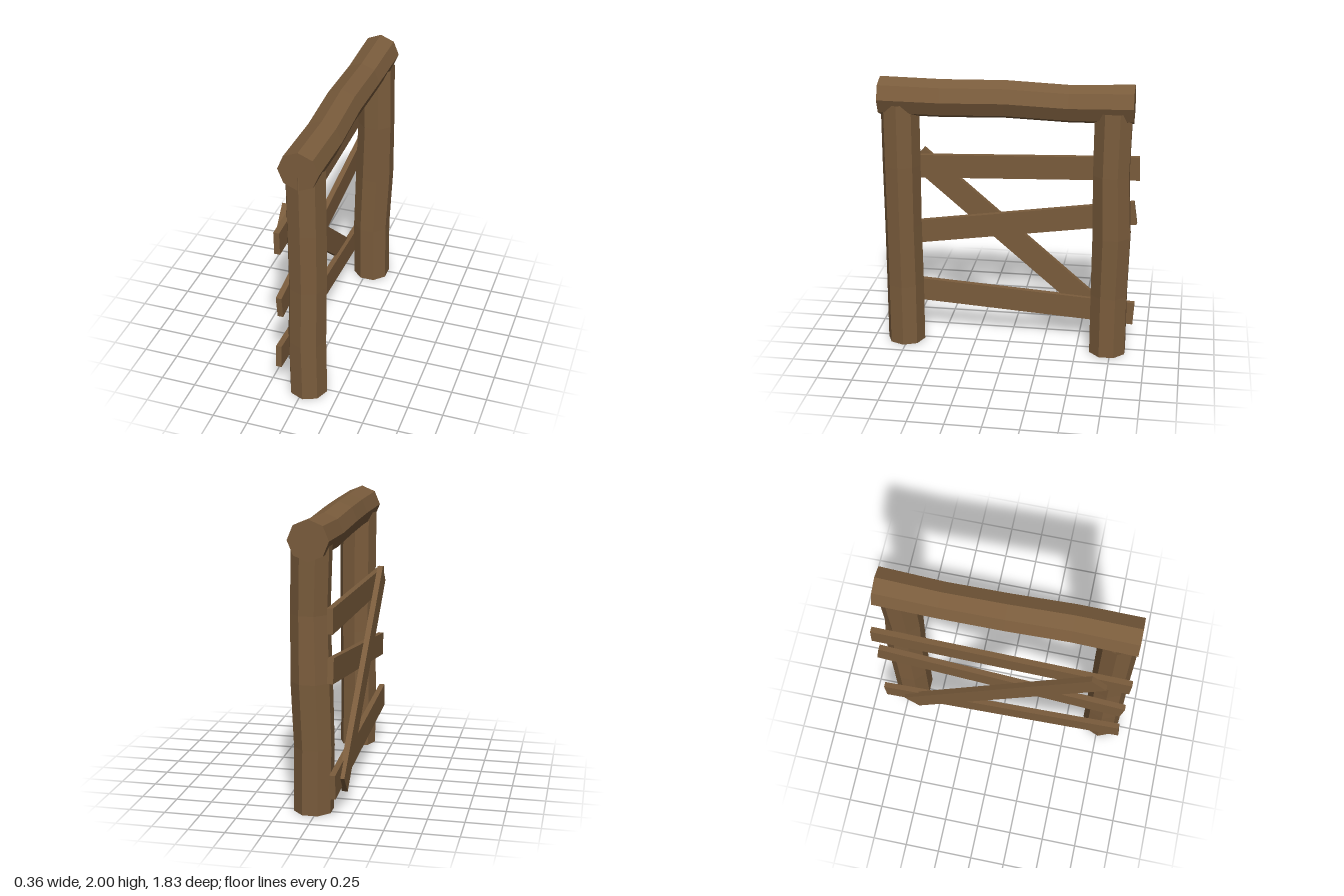
import * as THREE from 'three';

const wood = new THREE.MeshStandardMaterial({ color: 0x7a5c3c, side: THREE.DoubleSide, flatShading: true });
wood.name = 'brown wood';

// Eight-sided log along y, its five rings nudged by [dx, dz, scale]
function logGeometry(radius, length, turn, open, rings) {
  const g = new THREE.CylinderGeometry(radius, radius, length, 8, 4, open, turn);
  const p = g.attributes.position;
  for (let i = 0; i < p.count; i++) {
    const [dx, dz, s] = rings[Math.round((p.getY(i) / length + 0.5) * 4)];
    p.setX(i, p.getX(i) * s + dx);
    p.setZ(i, p.getZ(i) * s + dz);
  }
  return g;
}

export function createModel() {
  const model = new THREE.Group();
  model.name = 'woodenGate';

  const add = (name, geometry, x, y, z) => {
    const mesh = new THREE.Mesh(geometry, wood);
    mesh.name = name;
    mesh.position.set(x, y, z);
    model.add(mesh);
    return mesh;
  };

  // Upright posts, hollow at the bottom, rising into the beam
  const postHeight = 1.82;
  add('frontPost', logGeometry(0.137, postHeight, 0, true,
    [[0, 0, 1], [-0.005, 0, 1], [0.005, 0, 0.98], [0.004, 0, 1], [0, 0, 1]]),
    0.027, postHeight / 2, 0.765);
  add('backPost', logGeometry(0.138, postHeight, Math.PI / 8, true,
    [[0, 0, 1], [-0.006, 0, 1], [0.008, -0.008, 1.03], [0.018, 0.006, 0.97], [0.005, 0, 1]]),
    0.03, postHeight / 2, -0.7275);

  // Top beam, laid along z
  const beam = logGeometry(0.138, 1.765, 0, false,
    [[0, 0, 1], [-0.006, 0.015, 0.96], [-0.008, 0, 0.97], [0.008, 0.007, 0.98], [0, 0.005, 1]]);
  beam.rotateX(Math.PI / 2);
  add('topBeam', beam, 0.028, 1.863, 0.0175);

  // Planks: name, x, front end z and y, back end z and y
  const planks = [
    ['topPlank', -0.125, 0.91, 1.293, -0.91, 1.356],
    ['middlePlank', -0.124, 0.898, 0.766, -0.893, 1.024],
    ['bottomPlank', -0.137, 0.907, 0.347, -0.903, 0.231],
    ['diagonalBrace', -0.165, 0.693, 1.366, -0.693, 0.174],
  ];
  for (const [name, x, z1, y1, z2, y2] of planks) {
    const length = Math.hypot(z1 - z2, y1 - y2);
    const plank = add(name, new THREE.BoxGeometry(0.04, 0.17, length), x, (y1 + y2) / 2, (z1 + z2) / 2);
    plank.rotation.x = -Math.atan2(y1 - y2, z1 - z2);
  }
  return model;
}
